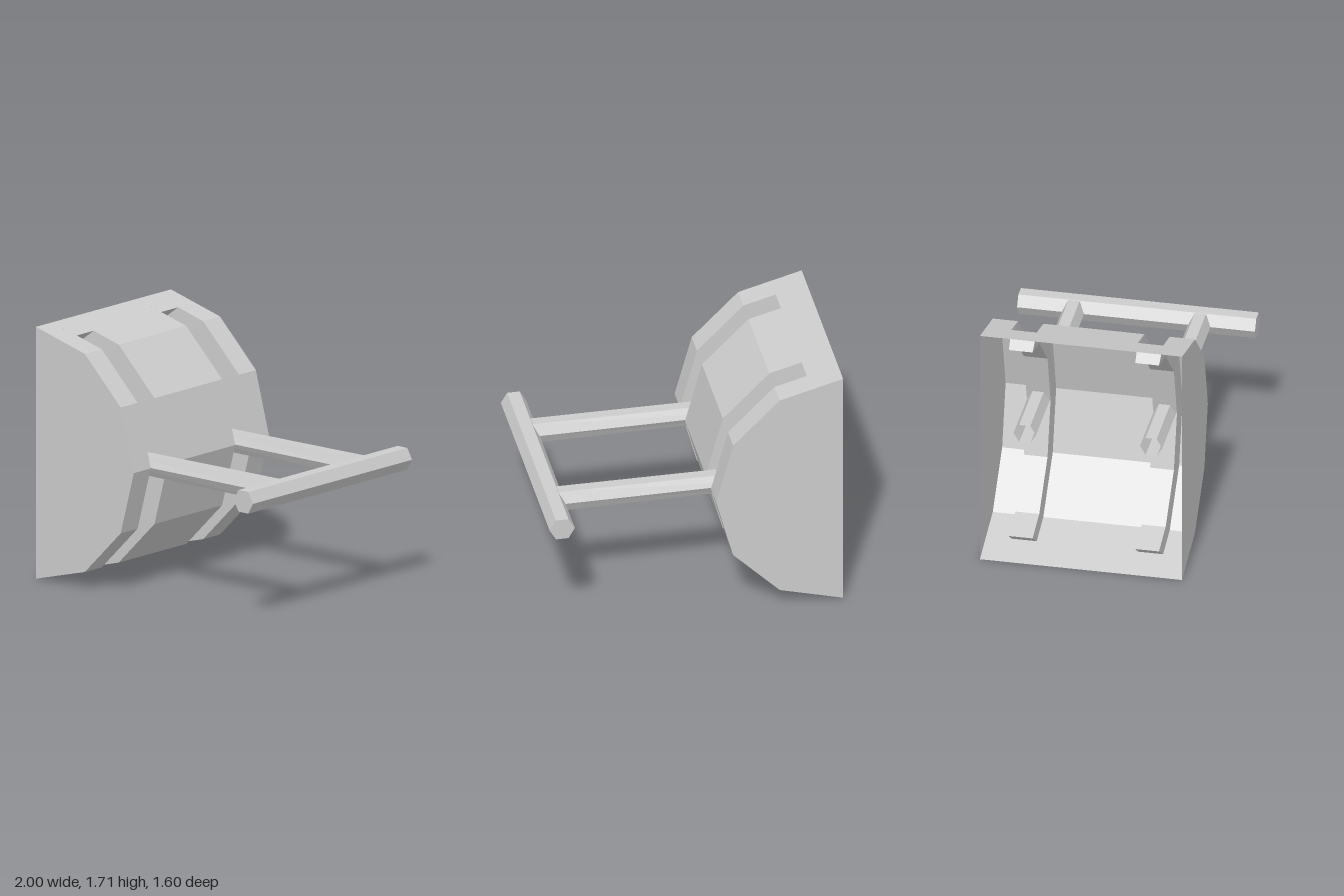
import * as THREE from 'three';

const CY = 0.857; // height of the centre line

export function createModel() {
  const model = new THREE.Group();
  const grey = new THREE.MeshStandardMaterial({ color: 0xcccccc, flatShading: true, side: THREE.DoubleSide });
  grey.name = 'plain grey';

  const add = (name, geometry, parent = model) => {
    const mesh = new THREE.Mesh(geometry, grey);
    mesh.name = name;
    parent.add(mesh);
    return mesh;
  };

  // Half of a twelve-sided polygon, from bottom to top
  const arc = (cx, r) => Array.from({ length: 7 }, (_, i) => {
    const a = -Math.PI / 2 + i * Math.PI / 6;
    return [cx + r * Math.cos(a), CY + r * Math.sin(a)];
  });
  const at = (path, z) => path.map(([x, y]) => [x, y, z]);

  // Strip of quads between two paths, the first on the +z side
  const strip = (a, b) => {
    const pos = [];
    for (let i = 0; i < a.length - 1; i++) {
      pos.push(...a[i], ...b[i], ...b[i + 1], ...a[i], ...b[i + 1], ...a[i + 1]);
    }
    const g = new THREE.BufferGeometry();
    g.setAttribute('position', new THREE.Float32BufferAttribute(pos, 3));
    g.computeVertexNormals();
    return g;
  };

  // Profiles of the housing skin and of the recessed slot floor
  const outer = arc(-1, 0.855);
  const slotLow = [-0.79, 0.058], slotHigh = [-0.79, 1.656];
  const rim = [slotLow, ...outer.slice(1, 6), slotHigh];
  const floor = [[-0.905, 0.145], ...arc(-1.06, 0.754).slice(1, 6), [-0.905, 1.569]];

  // Hollow housing, open at the back of the curve
  const housing = new THREE.Group();
  housing.name = 'housing';
  model.add(housing);
  for (const [z1, z0] of [[0.68, 0.51], [0.34, -0.34], [-0.51, -0.68]]) {
    add('curvedSkin', strip(at(outer, z1), at(outer, z0)), housing);
  }
  const outline = new THREE.Shape(outer.map(([x, y]) => new THREE.Vector2(x, y)));
  for (const z of [-0.68, 0.68]) {
    const wall = add('sideWall', new THREE.ShapeGeometry(outline), housing);
    wall.position.z = z;
    if (z < 0) { // turn the far wall outward
      wall.geometry.scale(1, 1, -1);
      const index = wall.geometry.index.array;
      for (let i = 0; i < index.length; i += 3) [index[i], index[i + 1]] = [index[i + 1], index[i]];
    }
  }

  for (const side of [-1, 1]) {
    const c = side * 0.425, w = 0.085, n = 0.08;
    const slot = new THREE.Group();
    slot.name = side > 0 ? 'leftSlot' : 'rightSlot';
    housing.add(slot);

    // Skin above and below the slot
    for (const ends of [[outer[0], slotLow], [slotHigh, outer[6]]]) {
      add('slotEndSkin', strip(at(ends, c + w), at(ends, c - w)), slot);
    }
    // Slot floor with its end walls, then the side walls
    const edge = s => [[...slotLow, c + s * w], ...at(floor, c + s * n), [...slotHigh, c + s * w]];
    add('slotFloor', strip(edge(1), edge(-1)), slot);
    add('slotSide', strip(at(rim, c + w), at(floor, c + n)), slot);
    add('slotSide', strip(at(floor, c - n), at(rim, c - w)), slot);

    // Six-sided arm running through the slot, growing slightly taller toward the handle
    const x0 = -0.77, x1 = 0.87;
    const arm = new THREE.CylinderGeometry(0.075, 0.075, x1 - x0, 6, 1, true);
    arm.rotateZ(-Math.PI / 2).translate((x0 + x1) / 2, 0, 0);
    const p = arm.attributes.position;
    for (let i = 0; i < p.count; i++) {
      if (p.getX(i) > 0) p.setY(i, p.getY(i) * 1.12);
    }
    add(side > 0 ? 'leftArm' : 'rightArm', arm).position.set(0, CY, c);
  }

  // Six-sided handle bar across the arms
  const bar = new THREE.CylinderGeometry(0.085, 0.085, 1.6, 6);
  bar.rotateY(Math.PI / 2).rotateX(Math.PI / 2);
  add('handleBar', bar).position.set(0.915, CY, 0);

  return model;
}
